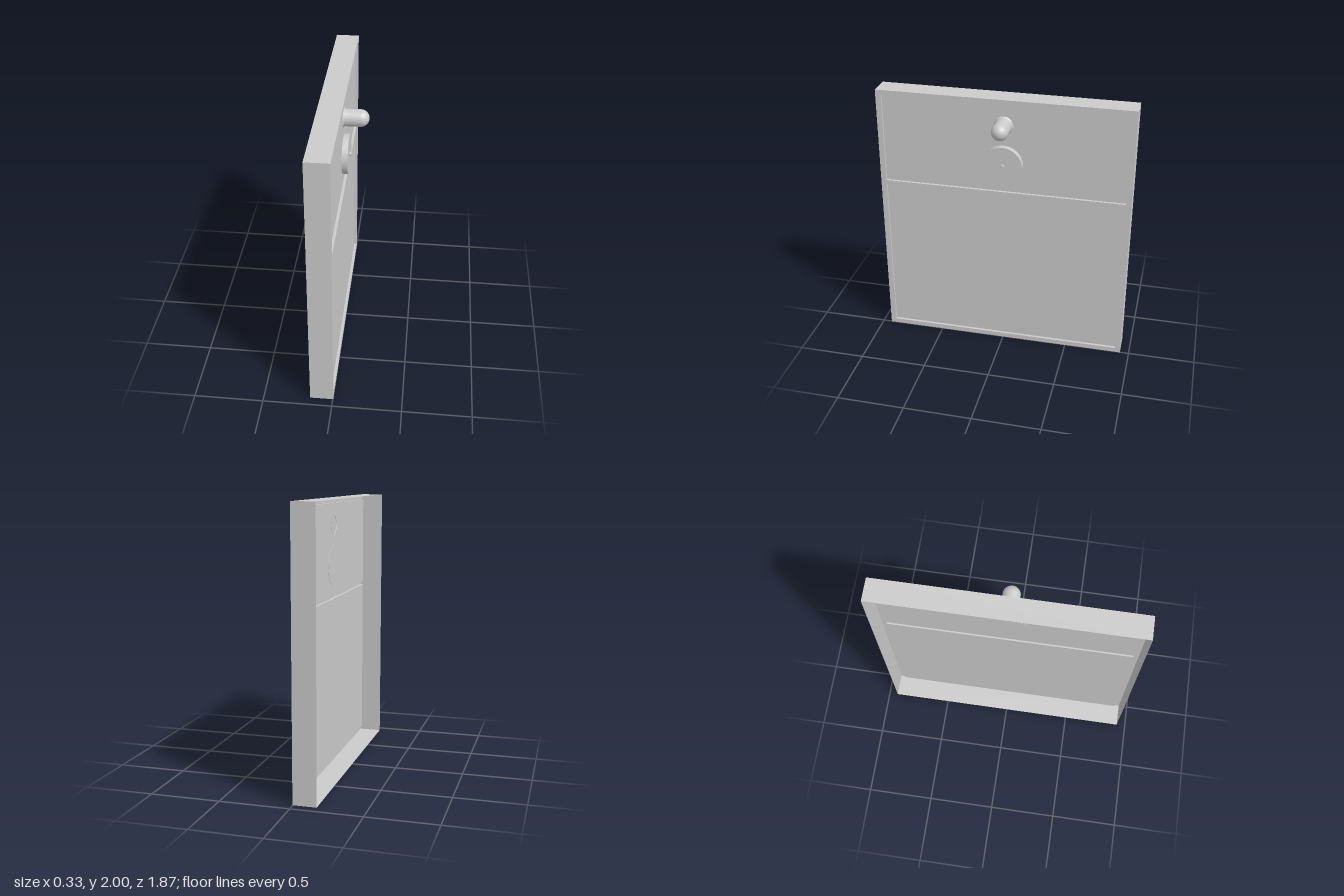
import * as THREE from 'three';

const material = new THREE.MeshStandardMaterial({ color: 0xcccccc, side: THREE.DoubleSide });
const BACK = -0.165, FACE = 0.003, RECESS = -0.017;
const HALF_WIDTH = 0.933, PANEL_HALF = 0.893;
const PANELS = { upperPanel: [1.29, 1.96], lowerPanel: [0.036, 1.26] };

function addMesh(group, name, geometry) {
  const mesh = new THREE.Mesh(geometry, material);
  mesh.name = name;
  group.add(mesh);
  return mesh;
}

// Box between two depths and heights, without its first faces (+x, then -x).
function openBox(x0, x1, y0, y1, halfZ, dropped) {
  const g = new THREE.BoxGeometry(x1 - x0, y1 - y0, halfZ * 2);
  g.setIndex(Array.from(g.index.array).slice(dropped * 6));
  g.clearGroups();
  return g.translate((x0 + x1) / 2, (y0 + y1) / 2, 0);
}

function rectangle(Type, halfZ, y0, y1) {
  return new Type([[-halfZ, y0], [halfZ, y0], [halfZ, y1], [-halfZ, y1]]
    .map(([a, b]) => new THREE.Vector2(a, b)));
}

// Cylinder lying along x, between two depths.
function disc(radius, x0, x1, y, segments) {
  return new THREE.CylinderGeometry(radius, radius, x1 - x0, segments)
    .rotateZ(-Math.PI / 2).translate((x0 + x1) / 2, y, 0);
}

export function createModel() {
  const group = new THREE.Group();
  group.name = 'panelUnit';

  // Thin casing walls, open at the back
  addMesh(group, 'casingWalls', openBox(BACK, FACE, 0, 2, HALF_WIDTH, 2));

  // Face frame with two openings
  const frame = rectangle(THREE.Shape, HALF_WIDTH, 0, 2);
  for (const [y0, y1] of Object.values(PANELS)) {
    frame.holes.push(rectangle(THREE.Path, PANEL_HALF, y0, y1));
  }
  addMesh(group, 'faceFrame',
    new THREE.ShapeGeometry(frame).rotateY(Math.PI / 2).translate(FACE, 0, 0));

  // Recessed panels, shallow trays open towards +x
  for (const [name, [y0, y1]] of Object.entries(PANELS)) {
    addMesh(group, name, openBox(RECESS, FACE, y0, y1, PANEL_HALF, 1));
  }

  // Round-ended knob with a small flared foot
  const profile = [[0.072, RECESS - 0.002], [0.066, -0.011], [0.061, -0.004], [0.061, 0.05]];
  for (let i = 0; i <= 12; i++) {
    const a = (i / 12) * Math.PI / 2;
    profile.push([0.061 * Math.cos(a), 0.103 + 0.061 * Math.sin(a)]);
  }
  addMesh(group, 'knob',
    new THREE.LatheGeometry(profile.map(([r, h]) => new THREE.Vector2(Math.max(r, 0), h)), 40)
      .rotateZ(-Math.PI / 2).translate(0, 1.802, 0));

  // Flat dial with its centre pin
  addMesh(group, 'dial', disc(0.143, RECESS - 0.002, 0.025, 1.508, 64));
  addMesh(group, 'dialPin', disc(0.014, 0.025, 0.041, 1.508, 24));

  return group;
}
